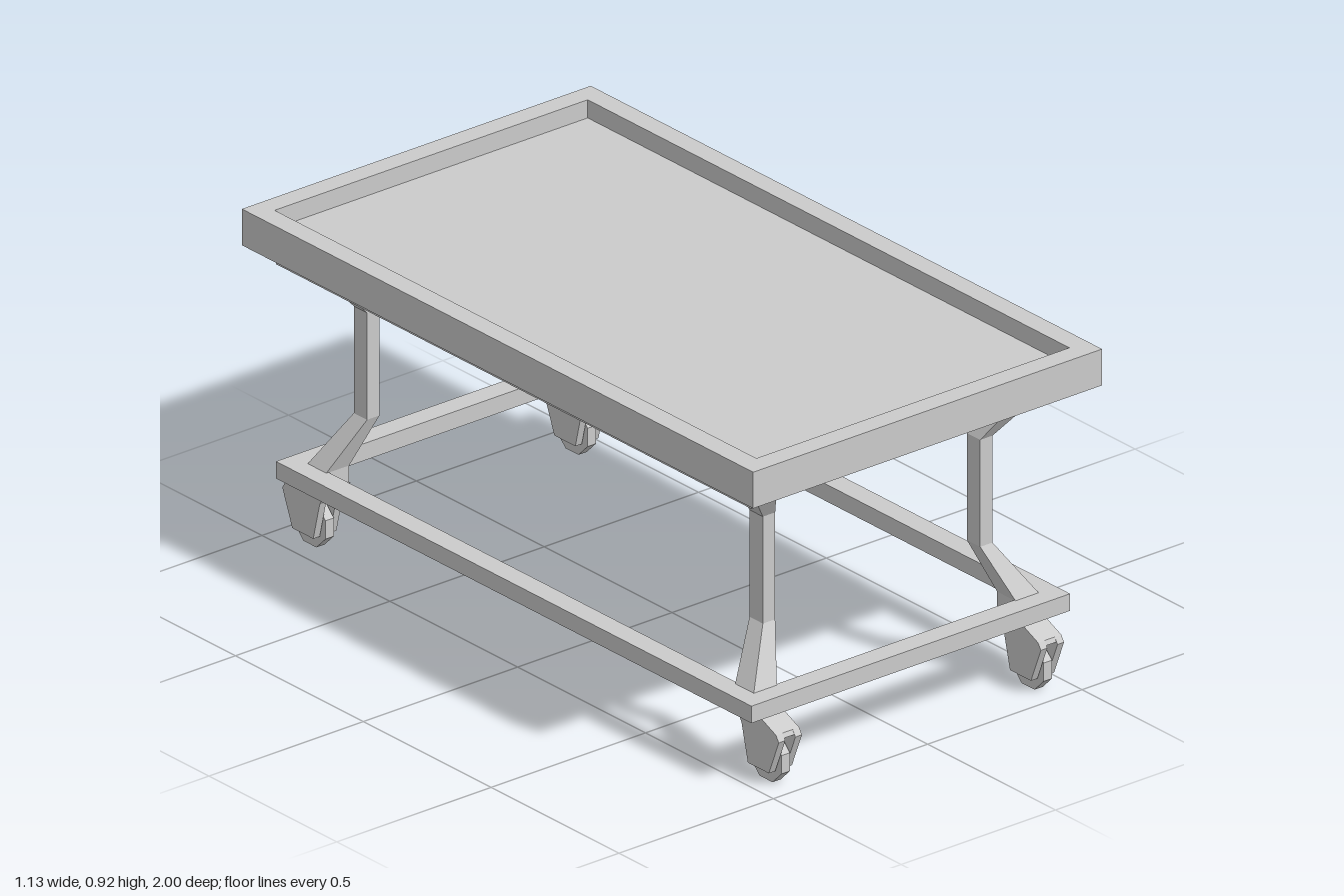
import * as THREE from 'three';

const material = new THREE.MeshStandardMaterial({ color: 0xcccccc, flatShading: true, side: THREE.DoubleSide });

function add(parent, name, geometry, x = 0, y = 0, z = 0) {
  const mesh = new THREE.Mesh(geometry, material);
  mesh.name = name;
  mesh.position.set(x, y, z);
  parent.add(mesh);
  return mesh;
}

// Rectangular frame lying flat, its bottom at y = 0
function ringGeometry(halfX, halfZ, bar, height) {
  const rect = (path, a, b) => path.moveTo(-a, -b).lineTo(a, -b).lineTo(a, b).lineTo(-a, b).closePath();
  const shape = new THREE.Shape();
  rect(shape, halfX, halfZ);
  const hole = new THREE.Path();
  rect(hole, halfX - bar, halfZ - bar);
  shape.holes.push(hole);
  const geometry = new THREE.ExtrudeGeometry(shape, { depth: height, bevelEnabled: false });
  return geometry.rotateX(-Math.PI / 2);
}

// Cranked leg lofted through rectangular sections: [y, x inner, x outer, z inner, z outer]
const legSections = [
  [0.19, 0.387, 0.462, 0.80, 0.873],
  [0.235, 0.387, 0.462, 0.80, 0.873],
  [0.375, 0.332, 0.372, 0.748, 0.80],
  [0.67, 0.332, 0.372, 0.748, 0.80],
  [0.78, 0.387, 0.462, 0.80, 0.873],
  [0.82, 0.387, 0.462, 0.80, 0.873],
];

function legGeometry(sx, sz) {
  const points = [], index = [];
  for (const [y, x0, x1, z0, z1] of legSections) {
    for (const [x, z] of [[x0, z0], [x0, z1], [x1, z1], [x1, z0]]) points.push(sx * x, y, sz * z);
  }
  const quad = (a, b, c, d) => index.push(...(sx * sz > 0 ? [a, b, c, a, c, d] : [a, c, b, a, d, c]));
  const last = 4 * (legSections.length - 1);
  for (let s = 0; s < last; s += 4) {
    for (let i = 0; i < 4; i++) {
      const j = (i + 1) % 4;
      quad(s + i, s + j, s + 4 + j, s + 4 + i);
    }
  }
  quad(3, 2, 1, 0);
  quad(last, last + 1, last + 2, last + 3);
  const geometry = new THREE.BufferGeometry();
  geometry.setAttribute('position', new THREE.Float32BufferAttribute(points, 3));
  geometry.setIndex(index);
  const flat = geometry.toNonIndexed();
  flat.computeVertexNormals();
  return flat;
}

// Side profile given as [z, y], extruded along x and centred on x = 0
function sidePlate(profile, width) {
  const shape = new THREE.Shape(profile.map(([z, y]) => new THREE.Vector2(-z, y)));
  const geometry = new THREE.ExtrudeGeometry(shape, { depth: width, bevelEnabled: false });
  return geometry.translate(0, 0, -width / 2).rotateY(Math.PI / 2);
}

// Caster with its outer side toward +z
function createCaster() {
  const caster = new THREE.Group();
  caster.name = 'caster';
  const cheek = [[0.795, 0.19], [0.825, 0.14], [0.85, 0.037], [0.932, 0.037], [0.971, 0.135], [0.96, 0.152], [0.873, 0.19]];
  const bridge = [[0.795, 0.19], [0.825, 0.14], [0.966, 0.14], [0.96, 0.152], [0.873, 0.19]];
  for (const s of [-1, 1]) add(caster, 'forkCheek', sidePlate(cheek, 0.021), s * 0.027);
  add(caster, 'forkBridge', sidePlate(bridge, 0.034));

  // Eight-sided wheel with a flat facet on the ground
  const wheel = new THREE.CylinderGeometry(0.066, 0.066, 0.027, 8);
  wheel.rotateY(Math.PI / 8).rotateZ(Math.PI / 2);
  add(caster, 'wheel', wheel, 0, 0.061, 0.892);
  const axle = new THREE.CylinderGeometry(0.01, 0.01, 0.05, 8).rotateZ(Math.PI / 2);
  add(caster, 'axle', axle, 0, 0.061, 0.892);
  return caster;
}

export function createModel() {
  const model = new THREE.Group();
  model.name = 'rollingTrayTable';

  // Tray with a raised rim
  add(model, 'trayRim', ringGeometry(0.565, 1, 0.058, 0.1), 0, 0.82);
  add(model, 'trayFloor', new THREE.BoxGeometry(1.014, 0.05, 1.884), 0, 0.845);

  // Upper and lower frames
  add(model, 'upperFrame', ringGeometry(0.516, 0.93, 0.06, 0.04), 0, 0.78, 0.004);
  add(model, 'lowerFrame', ringGeometry(0.516, 0.93, 0.06, 0.047), 0, 0.189, 0.004);

  // Legs and casters at the four corners
  for (const sx of [-1, 1]) {
    for (const sz of [-1, 1]) {
      add(model, 'leg', legGeometry(sx, sz), -0.002, 0, 0.007);
      const caster = createCaster();
      caster.position.set(sx * 0.4245 - 0.002, 0, 0.007);
      if (sz < 0) caster.rotation.y = Math.PI;
      model.add(caster);
    }
  }
  return model;
}
